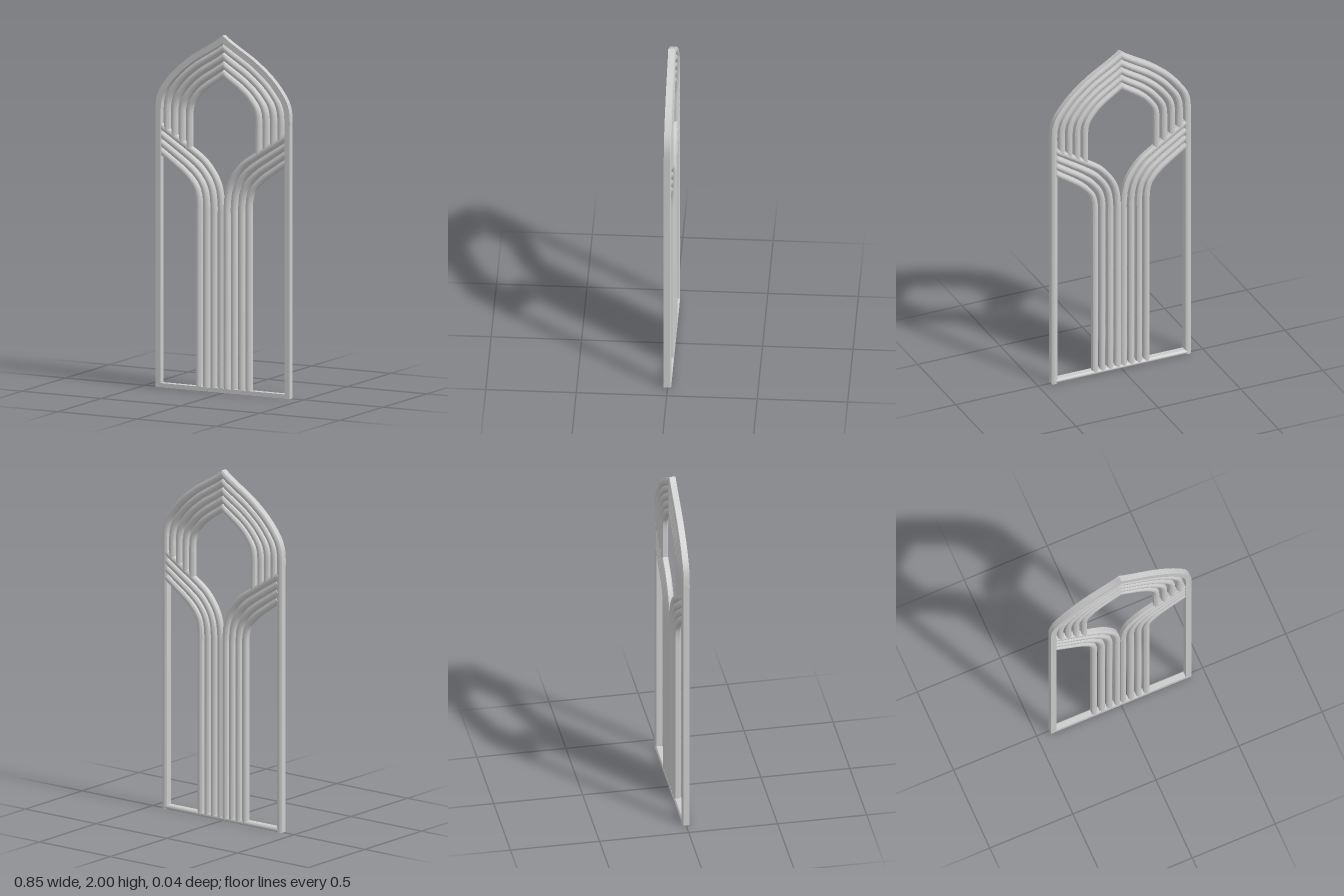
import * as THREE from 'three';
import { toCreasedNormals } from 'three/addons/utils/BufferGeometryUtils.js';

const material = new THREE.MeshStandardMaterial({ color: 0xcccccc });
const V = (x, y) => new THREE.Vector2(x, y);
const lerp = THREE.MathUtils.lerp;

// Cross-sections (across the bar, depth), counter-clockwise
const FRAME = [[0.017, 0.021], [-0.017, 0.021], [-0.017, -0.013], [-0.009, -0.019], [0, -0.021], [0.009, -0.019], [0.017, -0.013]];
const RAIL = FRAME.map(([u, v]) => [u * 0.72, v]);
const BAR = [[0.016, -0.012], [0.016, 0.012], [0.009, 0.0185], [0, 0.021], [-0.009, 0.0185],
  [-0.016, 0.012], [-0.016, -0.012], [-0.009, -0.0185], [0, -0.0205], [0.009, -0.0185]];

// Sweeps a cross-section along a flat path, with mitred corners
function sweep(name, path, profile) {
  const pos = [], index = [], n = profile.length, last = path.length - 1;
  const side = (a, b) => { const d = b.clone().sub(a).normalize(); return V(-d.y, d.x); };
  path.forEach((p, i) => {
    const a = side(path[Math.max(i - 1, 0)], path[Math.max(i, 1)]);
    const b = side(path[Math.min(i, last - 1)], path[Math.min(i + 1, last)]);
    const m = a.clone().add(b).normalize();
    m.divideScalar(m.dot(a));
    for (const [u, v] of profile) pos.push(p.x + m.x * u, p.y + m.y * u, v);
    if (i < last) for (let j = 0; j < n; j++) {
      const k = (j + 1) % n, r = i * n, s = r + n;
      index.push(r + j, r + k, s + k, r + j, s + k, s + j);
    }
  });
  // End caps
  for (let j = 1; j < n - 1; j++) index.push(0, j + 1, j, last * n, last * n + j, last * n + j + 1);
  const geo = new THREE.BufferGeometry();
  geo.setAttribute('position', new THREE.Float32BufferAttribute(pos, 3));
  geo.setIndex(index);
  const mesh = new THREE.Mesh(toCreasedNormals(geo, 0.72), material);
  mesh.name = name;
  return mesh;
}

// Blends two point lists and smooths them above a straight foot
function risingPath(from, to, t, footY) {
  const pts = from.map((p, i) => V(lerp(p[0], to[i][0], t), lerp(p[1], to[i][1], t)));
  const foot = V(pts[0].x, footY);
  const curve = new THREE.SplineCurve([V(pts[0].x, pts[0].y - 0.04), ...pts]);
  return [foot, ...curve.getPoints(32)];
}

const flip = path => path.map(p => V(-p.x, p.y));

// Half centre lines of the outermost and innermost pointed arches
const ARCH_OUT = [[0.406, 1.56], [0.399, 1.62], [0.37, 1.682], [0.295, 1.772], [0.19, 1.858], [0.086, 1.922], [0.034, 1.954], [0, 1.979]];
const ARCH_IN = [[0.217, 1.53], [0.213, 1.575], [0.198, 1.615], [0.155, 1.67], [0.105, 1.713], [0.05, 1.75], [0.02, 1.77], [0, 1.785]];
// Centre lines of the innermost and outermost branching bars
const STEM_IN = [[0.018, 1.04], [0.028, 1.13], [0.058, 1.205], [0.12, 1.283], [0.2, 1.34], [0.3, 1.403], [0.395, 1.463]];
const STEM_OUT = [[0.157, 1.04], [0.16, 1.085], [0.172, 1.13], [0.2, 1.172], [0.25, 1.22], [0.32, 1.27], [0.395, 1.322]];

export function createModel() {
  const model = new THREE.Group();
  model.name = 'archedPanel';

  // Outer frame and four nested arches resting on the branches
  for (let i = 0; i < 5; i++) {
    const x = lerp(0.406, 0.217, i / 4);
    const half = risingPath(ARCH_OUT, ARCH_IN, i / 4, i === 0 ? 0 : 1.205 + 0.655 * x);
    const path = [...half, ...flip(half).reverse().slice(1)];
    model.add(sweep(i === 0 ? 'outerFrame' : 'innerArch' + i, path, i === 0 ? FRAME : BAR));
  }

  // Bottom rail
  model.add(sweep('bottomRail', [V(-0.41, 0.0123), V(0.41, 0.0123)], RAIL));

  // Stems that rise from the rail and branch out to the frame
  for (let i = 0; i < 4; i++) {
    const path = risingPath(STEM_IN, STEM_OUT, i / 3, 0.012);
    model.add(sweep('leftStem' + (i + 1), path, BAR));
    model.add(sweep('rightStem' + (i + 1), flip(path), BAR));
  }
  return model;
}
